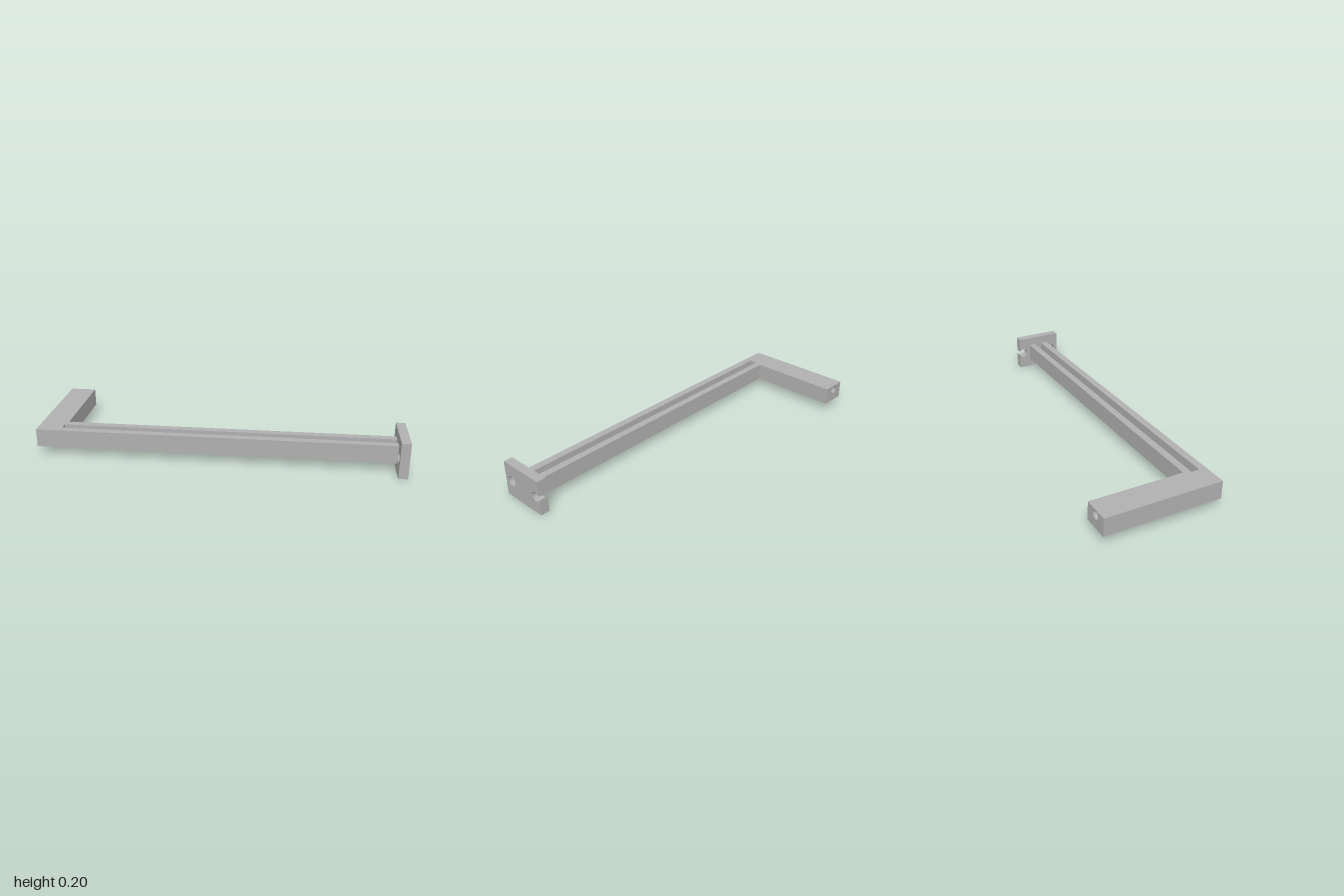
import * as THREE from 'three';

const X0 = -1, ARM_X = -0.853, PLATE_X = 0.95;
const BACK = -0.363, BAR_BACK = 0.16, BAR_FRONT = 0.286;
const BORE_END = -0.16; // depth of the blind bore in the arm
const SLOT_X = -0.865, SLOT_BACK = 0.2, SLOT_FRONT = 0.245, SLOT_FLOOR = 0.1;

function shapeFrom(points) {
  return new THREE.Shape(points.map(([a, b]) => new THREE.Vector2(a, b)));
}

function extrude(shape, depth) {
  return new THREE.ExtrudeGeometry(shape, { depth, bevelEnabled: false, curveSegments: 24 });
}

// Horizontal slab from an outline of [x, z] points, between two heights
function slab(points, y0, y1) {
  const geometry = extrude(shapeFrom(points.map(([x, z]) => [x, -z])), y1 - y0);
  return geometry.rotateX(-Math.PI / 2).translate(0, y0, 0);
}

export function createModel() {
  const group = new THREE.Group();
  const grey = new THREE.MeshStandardMaterial({ color: 0xb0b0b0 });
  grey.name = 'grey';
  const add = (name, geometry) => {
    const mesh = new THREE.Mesh(geometry, grey);
    mesh.name = name;
    group.add(mesh);
  };

  // L-shaped bar: solid lower half, upper half notched by the long groove
  const start = [[X0, BORE_END], [X0, BAR_FRONT], [PLATE_X, BAR_FRONT]];
  const end = [[PLATE_X, BAR_BACK], [ARM_X, BAR_BACK], [ARM_X, BORE_END]];
  const groove = [
    [PLATE_X, SLOT_FRONT], [SLOT_X, SLOT_FRONT],
    [SLOT_X, SLOT_BACK], [PLATE_X, SLOT_BACK],
  ];
  add('barLower', slab([...start, ...end], 0.05, SLOT_FLOOR));
  add('barGrooved', slab([...start, ...groove, ...end], SLOT_FLOOR, 0.15));

  // Free end of the arm, with a round blind bore
  const armSection = shapeFrom([[X0, 0.05], [ARM_X, 0.05], [ARM_X, 0.15], [X0, 0.15]]);
  const bore = new THREE.Path();
  bore.absarc((X0 + ARM_X) / 2, 0.122, 0.0225, 0, Math.PI * 2, true);
  armSection.holes.push(bore);
  add('armEnd', extrude(armSection, BORE_END - BACK).translate(0, 0, BACK));

  // Mounting plate: drawn as (-z, y), one round hole and one cut open at the edge
  const r = 0.028, zFront = 0.363, zBack = 0.088, zOpen = 0.113, zHole = 0.313;
  const half = Math.acos((zOpen - zBack) / r);
  const plate = new THREE.Shape();
  plate.moveTo(-zFront, 0);
  plate.lineTo(-zBack, 0);
  plate.lineTo(-zBack, 0.1 - r * Math.sin(half));
  plate.absarc(-zOpen, 0.1, r, -half, half - Math.PI * 2, true);
  plate.lineTo(-zBack, 0.2);
  plate.lineTo(-zFront, 0.2);
  plate.closePath();
  const hole = new THREE.Path();
  hole.absarc(-zHole, 0.1, r, 0, Math.PI * 2, true);
  plate.holes.push(hole);
  add('mountingPlate', extrude(plate, 1 - PLATE_X).rotateY(Math.PI / 2).translate(PLATE_X, 0, 0));

  return group;
}
